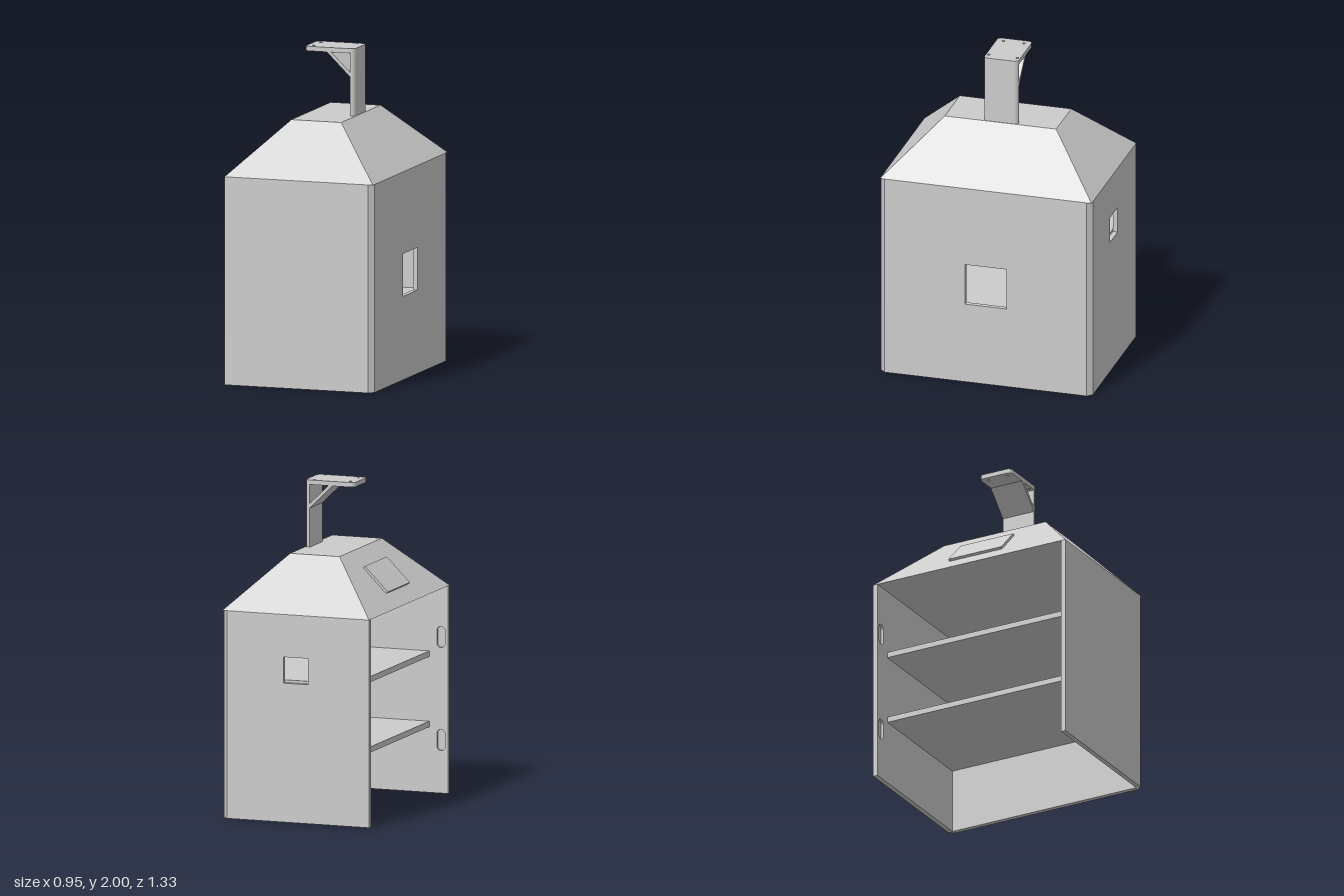
import * as THREE from 'three';

const W = 0.475, D = 0.665, H = 1.27, T = 0.03; // half width, half depth, wall height, wall thickness
const material = new THREE.MeshStandardMaterial({ color: 0xcccccc });

function add(parent, name, geometry, x = 0, y = 0, z = 0) {
  const mesh = new THREE.Mesh(geometry, material);
  mesh.name = name;
  mesh.position.set(x, y, z);
  parent.add(mesh);
  return mesh;
}

const extrude = (shape, depth) =>
  new THREE.ExtrudeGeometry(shape, { depth, bevelEnabled: false, curveSegments: 10 });
// Extrudes a plan outline (x, -z) upwards
const extrudeUp = (shape, height) => extrude(shape, height).rotateX(-Math.PI / 2);

const polygon = (points) => new THREE.Shape(points.map(([x, y]) => new THREE.Vector2(x, y)));
const rect = (x0, y0, x1, y1) => polygon([[x0, y0], [x1, y0], [x1, y1], [x0, y1]]);

// Upright slot with round ends
function slot(x, y, r, half) {
  const p = new THREE.Path();
  p.absarc(x, y + half - r, r, 0, Math.PI);
  p.absarc(x, y - half + r, r, Math.PI, Math.PI * 2);
  p.closePath();
  return p;
}

// End wall in two layers: a closed outer skin and an inner one with blind slots
function endWall(parent, name, side, withWindow) {
  const wall = new THREE.Group();
  wall.name = name;
  parent.add(wall);
  for (const layer of ['inner', 'outer']) {
    const shape = rect(-W, 0, W - T, H);
    if (withWindow) shape.holes.push(rect(-0.08, 0.85, 0.08, 1.01));
    if (layer === 'inner') {
      for (const y of [0.325, 0.955]) shape.holes.push(slot(-0.43, y, 0.026, 0.065));
    }
    const near = D - (layer === 'inner' ? T : T / 2);
    add(wall, layer + 'Skin', extrude(shape, T / 2), 0, 0, side > 0 ? near : -near - T / 2);
  }
}

function createHouse() {
  const house = new THREE.Group();
  house.name = 'house';

  endWall(house, 'frontWall', 1, false);
  endWall(house, 'backWall', -1, true);

  // Side wall with a square window; the opposite side stays open
  const side = rect(-D + T, 0, D - T, H);
  side.holes.push(rect(-0.13, 0.51, 0.13, 0.77));
  add(house, 'sideWall', extrude(side, T).rotateY(Math.PI / 2), W - T);

  // Chamfered corners joining the walls
  for (const s of [1, -1]) {
    const corner = polygon([[W - T, s * (D - T)], [W, s * (D - T)], [W - T, s * D]]);
    add(house, 'chamferedCorner', extrudeUp(corner, H));
  }

  // Two shelves, set back from the open side
  for (const y of [0.418, 0.848]) {
    const x0 = -0.355, x1 = W - T;
    add(house, 'shelf', new THREE.BoxGeometry(x1 - x0, 0.035, 2 * (D - T)), (x0 + x1) / 2, y, 0);
  }
  return house;
}

function createRoof() {
  const roof = new THREE.Group();
  roof.name = 'roof';

  // Hipped roof: a box whose top is drawn in by the same amount all round
  const height = 0.318, inset = 0.315;
  const hip = new THREE.BoxGeometry(2 * W, height, 2 * D);
  const p = hip.attributes.position;
  for (let i = 0; i < p.count; i++) {
    if (p.getY(i) < 0) continue;
    p.setX(i, p.getX(i) - Math.sign(p.getX(i)) * inset);
    p.setZ(i, p.getZ(i) - Math.sign(p.getZ(i)) * inset);
  }
  hip.computeVertexNormals();
  add(roof, 'hippedRoof', hip, 0, H + height / 2, 0);

  // Thin panel lying on the slope over the open side
  const panel = add(roof, 'slopePanel', new THREE.BoxGeometry(0.21, 0.016, 0.365), -0.327, 1.429, 0);
  panel.rotation.z = Math.PI / 4;
  return roof;
}

function createBracket() {
  const bracket = new THREE.Group();
  bracket.name = 'bracket';
  const x0 = -0.16, x1 = 0.157, d = 0.108, r = 0.027, base = 1.585, under = 1.972;

  // Top plate with round corners and four screw holes
  const plate = new THREE.Shape();
  plate.absarc(x1 - r, d - r, r, 0, Math.PI / 2);
  plate.absarc(x0 + r, d - r, r, Math.PI / 2, Math.PI);
  plate.absarc(x0 + r, -d + r, r, Math.PI, Math.PI * 1.5);
  plate.absarc(x1 - r, -d + r, r, Math.PI * 1.5, Math.PI * 2);
  plate.closePath();
  for (const [x, z] of [[-0.12, 0.064], [0.103, 0.09]]) {
    for (const s of [1, -1]) {
      plate.holes.push(new THREE.Path().absarc(x, s * z, 0.009, 0, Math.PI * 2));
    }
  }
  add(bracket, 'topPlate', extrudeUp(plate, 2 - under), 0, under, 0);

  // Post with rounded outer edges
  const post = new THREE.Shape();
  post.moveTo(0.128, -d);
  post.absarc(x1 - r, -d + r, r, -Math.PI / 2, 0);
  post.absarc(x1 - r, d - r, r, 0, Math.PI / 2);
  post.lineTo(0.128, d);
  post.closePath();
  add(bracket, 'post', extrudeUp(post, under - base), 0, base, 0);

  // Diagonal brace under the plate
  const brace = polygon([[-0.02, under], [0.128, 1.828], [0.128, 1.855], [0.008, under]]);
  add(bracket, 'brace', extrude(brace, 2 * d), 0, 0, -d);
  return bracket;
}

export function createModel() {
  const model = new THREE.Group();
  model.name = 'shelvedHouse';
  model.add(createHouse(), createRoof(), createBracket());
  return model;
}
